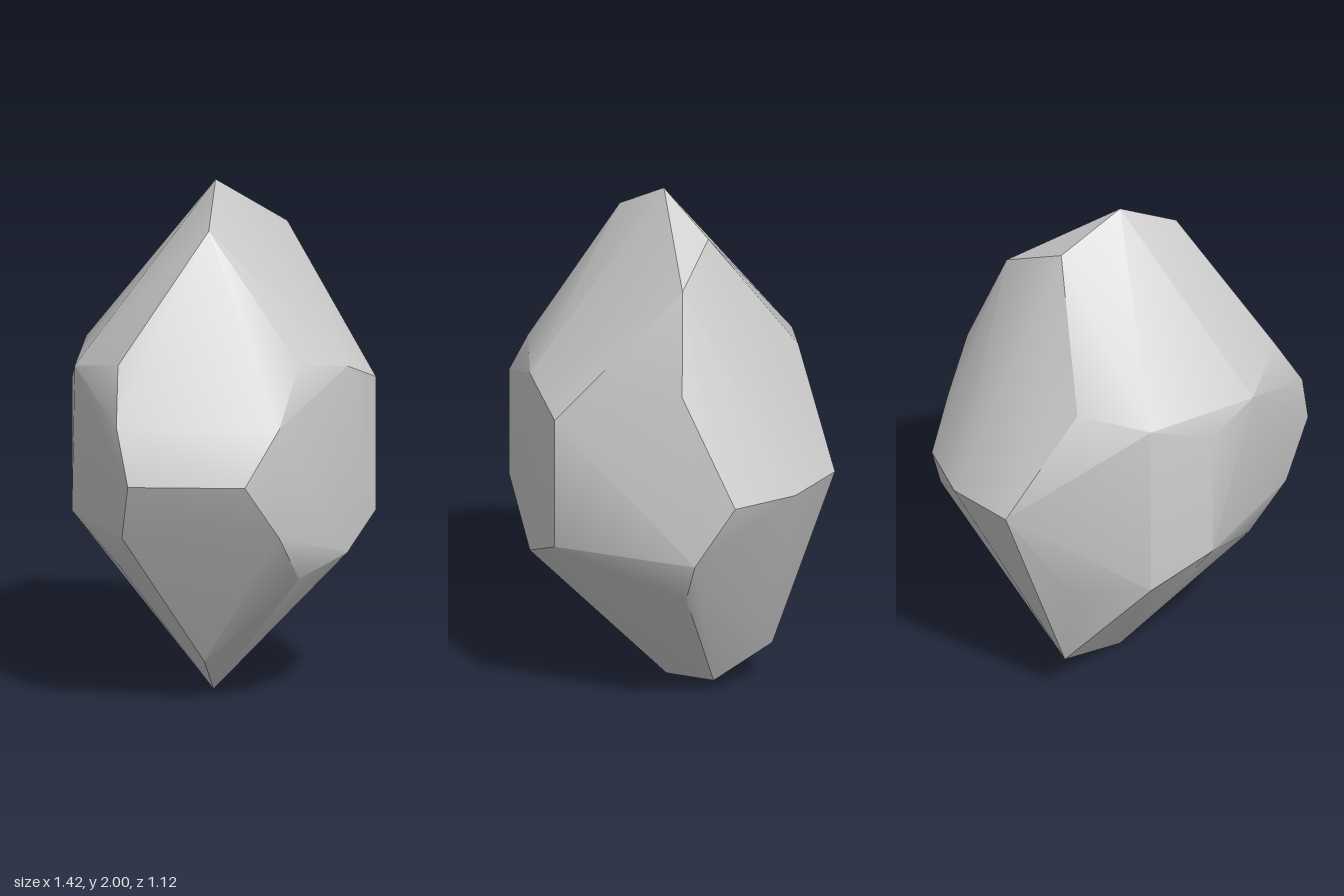
import * as THREE from 'three';
import { ConvexGeometry } from 'three/addons/geometries/ConvexGeometry.js';
import { toCreasedNormals } from 'three/addons/utils/BufferGeometryUtils.js';

// A faceted boulder: an uneven, upright dodecahedron with slightly bowed edges.
export function createModel() {
  const corners = [
    // front pentagon
    [-0.13, 1.38, 0.52], [0.36, 1.23, 0.51], [0.36, 0.71, 0.51], [-0.13, 0.54, 0.52], [-0.45, 0.96, 0.51],
    // girdle, front ring
    [-0.21, 1.86, 0.15], [0.58, 1.38, 0.06], [0.56, 0.54, 0.04], [-0.21, 0.17, 0.13], [-0.71, 0.96, 0.15],
    // girdle, rear ring
    [0.22, 1.87, -0.11], [0.71, 0.96, -0.12], [0.22, 0.05, -0.13], [-0.49, 0.57, -0.06], [-0.59, 1.39, 0.01],
    // back pentagon
    [0.15, 1.38, -0.47], [0.42, 0.96, -0.56], [0.15, 0.54, -0.48], [-0.36, 0.71, -0.39], [-0.36, 1.23, -0.39],
  ];
  // points where the edges between corners bow outwards
  const bows = [
    [0, 2, 0.02], [0, 0, 0.01], [0.43, 1.75, 0.03], [0.2, 0.18, -0.36],
    [0.12, 1.33, 0.56], [0.12, 0.6, 0.56], [-0.3, 0.74, 0.56], [-0.3, 1.17, 0.56],
    [-0.13, 1.33, -0.5], [-0.13, 0.6, -0.5], [0.3, 1.18, -0.5], [0.3, 0.74, -0.5],
    [-0.69, 1.18, 0.08], [-0.63, 0.73, 0.06], [0.68, 0.72, 0.03], [0.65, 1.17, -0.03],
    [-0.51, 1.33, -0.26], [0.62, 0.96, -0.37],
  ];
  const points = [...corners, ...bows].map((p) => new THREE.Vector3(...p));

  // smooth inside each facet, crisp between facets
  const geometry = toCreasedNormals(new ConvexGeometry(points), 0.5);
  const boulder = new THREE.Mesh(geometry, new THREE.MeshStandardMaterial({ color: 0xcccccc }));
  boulder.name = 'boulder';

  const group = new THREE.Group();
  group.name = 'rock';
  group.add(boulder);
  return group;
}
